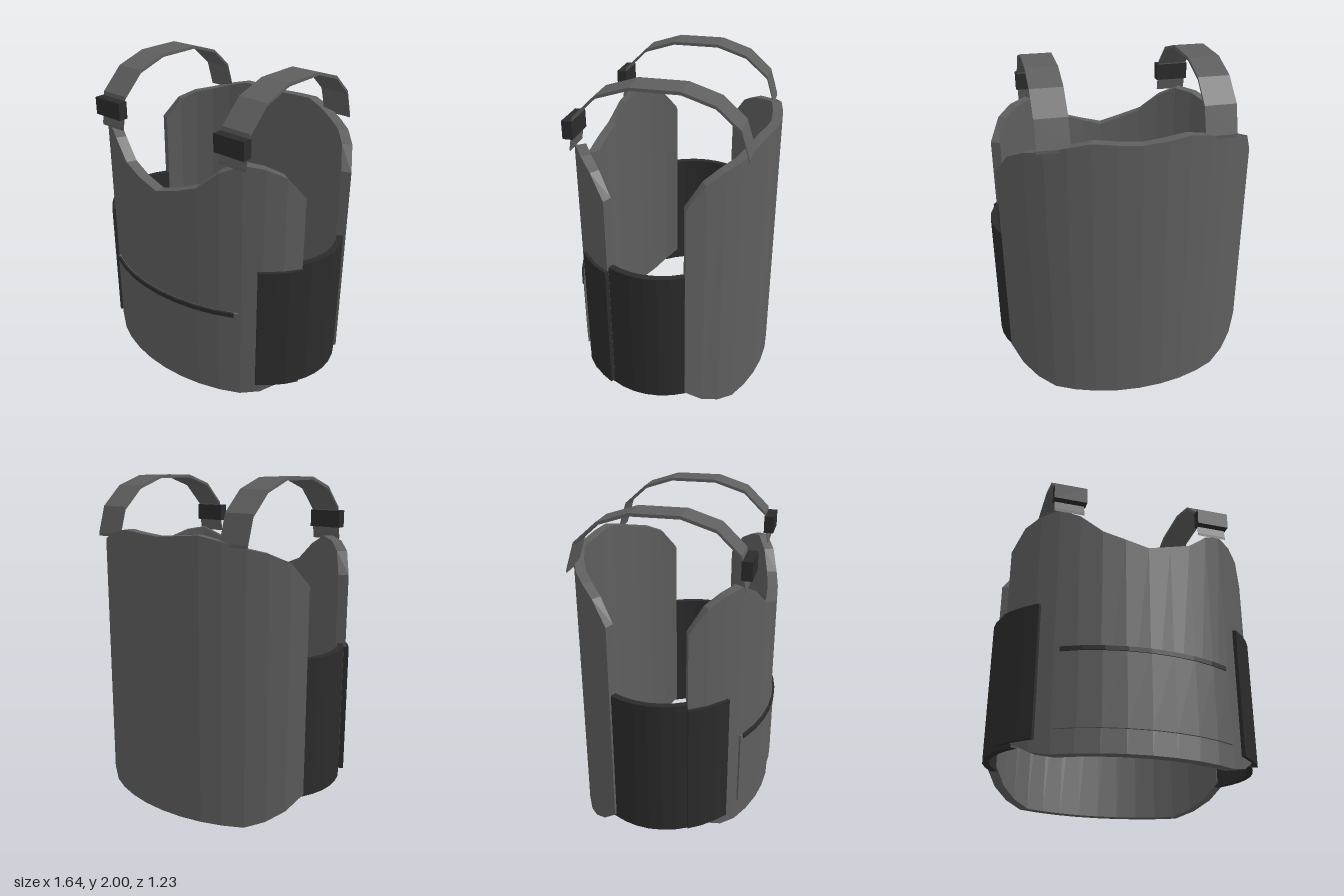
import * as THREE from 'three';

// Skin a list of four-cornered cross-sections into a closed, flat-shaded solid
function loft(sections) {
  const pos = sections.flat(2), idx = [], n = sections.length;
  const quad = (a, b, c, d) => idx.push(a, b, c, a, c, d);
  for (let i = 0; i < n - 1; i++) {
    for (let k = 0; k < 4; k++) {
      const m = (k + 1) % 4;
      quad(i * 4 + k, i * 4 + 4 + k, i * 4 + 4 + m, i * 4 + m);
    }
  }
  const e = (n - 1) * 4;
  quad(0, 1, 2, 3);
  quad(e + 3, e + 2, e + 1, e);
  const g = new THREE.BufferGeometry();
  g.setAttribute('position', new THREE.Float32BufferAttribute(pos, 3));
  g.setIndex(idx);
  const flat = g.toNonIndexed();
  flat.computeVertexNormals();
  return flat;
}

// Plate wrapped round the body ellipse; angles in degrees from the front (+z) towards +x
function wrap(from, to, steps, outer, inner, bottom, top) {
  const sections = [];
  for (let i = 0; i <= steps; i++) {
    const t = THREE.MathUtils.degToRad(from + (to - from) * i / steps);
    const at = (r, y) => [r[0] * Math.sin(t), y, r[1] * Math.cos(t)];
    const lo = bottom(i), hi = top(i);
    sections.push([at(outer, lo), at(outer, hi), at(inner, hi), at(inner, lo)]);
  }
  return loft(sections);
}

export function createModel() {
  const group = new THREE.Group();
  const fabric = new THREE.MeshStandardMaterial({ color: 0x5e5e5e });
  const dark = new THREE.MeshStandardMaterial({ color: 0x2b2b2b });
  const add = (name, geometry, material) => {
    const mesh = new THREE.Mesh(geometry, material);
    mesh.name = name;
    group.add(mesh);
    return mesh;
  };
  const flat = (y) => () => y;
  // Edge heights listed from the middle column out to the side
  const edge = (heights) => (i) => heights[Math.abs(i - 7)];

  // Front and back panels
  const half = 68.1;
  add('frontPanel', wrap(-half, half, 14, [0.83, 0.595], [0.77, 0.532],
    edge([0.1, 0.1, 0.1, 0.1, 0.1, 0.125, 0.185, 0.25]),
    edge([1.37, 1.41, 1.46, 1.57, 1.63, 1.61, 1.56, 1.43])), fabric);
  add('backPanel', wrap(180 - half, 180 + half, 14, [0.83, 0.615], [0.77, 0.555],
    edge([0, 0, 0, 0, 0, 0.04, 0.1, 0.19]),
    edge([1.68, 1.69, 1.7, 1.67, 1.635, 1.61, 1.56, 1.43])), fabric);

  // Front pocket with its dark opening
  add('pocket', wrap(-37.6, 37.6, 8, [0.845, 0.608], [0.82, 0.585],
    flat(0.235), flat(0.7)), fabric);
  add('pocketOpening', wrap(-35.8, 35.8, 8, [0.85, 0.614], [0.835, 0.6],
    flat(0.675), flat(0.702)), dark);

  // Strap centre line from the front end, over the shoulder, to the back: [z, y]
  const path = [[0.482, 1.625], [0.47, 1.69], [0.455, 1.81], [0.32, 1.94], [0.13, 2],
    [-0.15, 2], [-0.335, 1.94], [-0.47, 1.82], [-0.52, 1.66]];

  for (const side of [1, -1]) {
    const label = side > 0 ? 'left' : 'right';

    // Side band and the flap that fastens over the front panel
    const mid = side * 90;
    add(label + 'SideBand', wrap(mid - 31, mid + 31, 8, [0.82, 0.582], [0.78, 0.545],
      flat(0.17), flat(1.01)), dark);
    const flap = side * 57.2;
    add(label + 'Flap', wrap(flap - 11, flap + 11, 3, [0.85, 0.615], [0.82, 0.585],
      flat(0.19), flat(0.99)), dark);

    // Shoulder strap and buckle
    const x = side * 0.468, w = 0.0925, thick = 0.018;
    add(label + 'ShoulderStrap', loft(path.map(([z, y]) => [
      [x + w, y, z], [x - w, y, z], [x - w, y - thick, z], [x + w, y - thick, z],
    ])), fabric);
    add(label + 'Buckle', new THREE.BoxGeometry(0.205, 0.105, 0.06), dark)
      .position.set(x, 1.733, 0.485);
  }
  return group;
}
